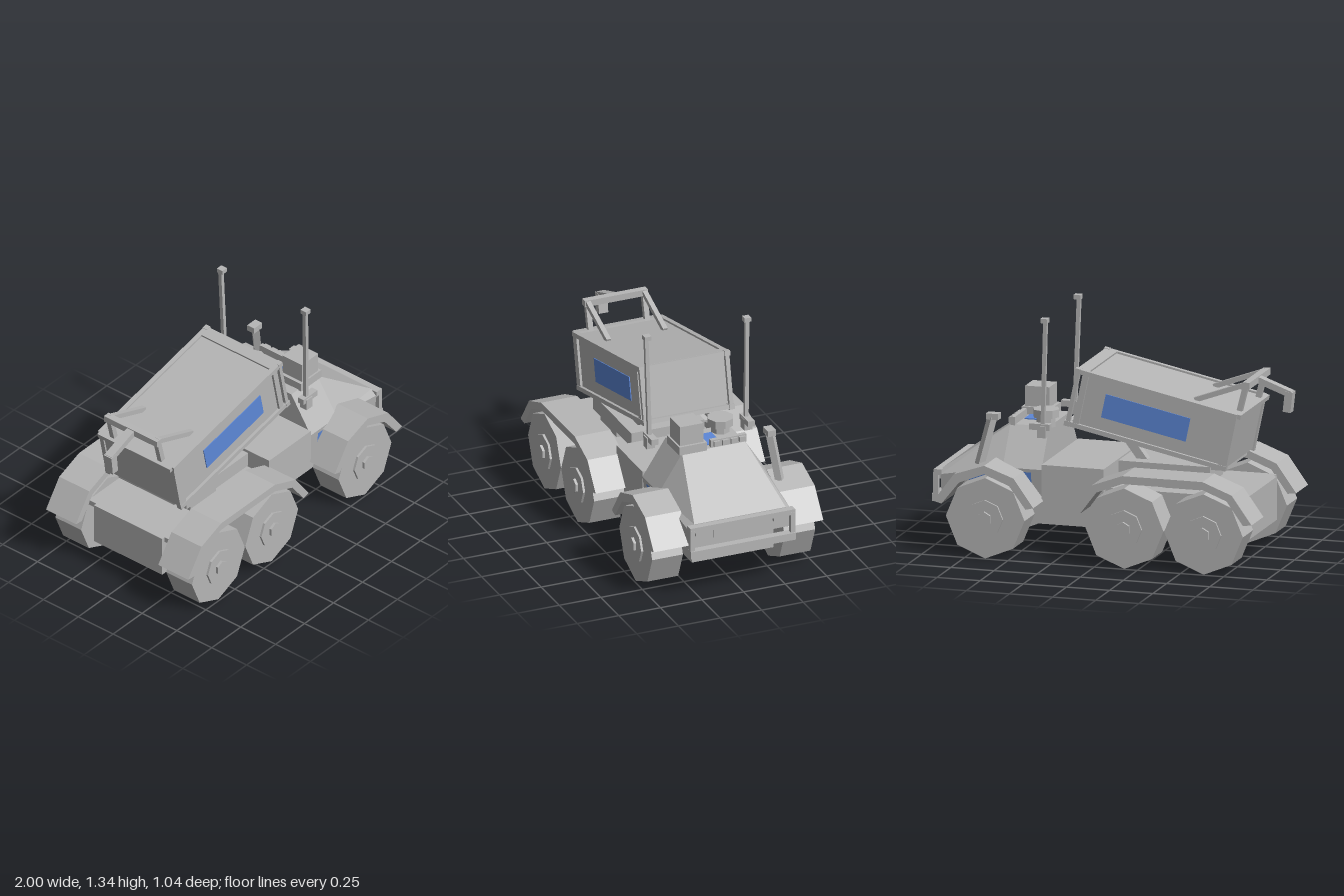
import * as THREE from 'three';

const gray = new THREE.MeshStandardMaterial({ color: 0xb6b6b6, side: THREE.DoubleSide });
gray.name = 'bodyGray';
const blue = new THREE.MeshStandardMaterial({ color: 0x5d88d8, side: THREE.DoubleSide });
blue.name = 'panelBlue';

function add(parent, name, geo, mat = gray) {
  const m = new THREE.Mesh(geo, mat);
  m.name = name;
  parent.add(m);
  return m;
}

// box given by its min and max on each axis
function box(parent, name, x0, x1, y0, y1, z0, z1, mat) {
  const m = add(parent, name, new THREE.BoxGeometry(x1 - x0, y1 - y0, z1 - z0), mat);
  m.position.set((x0 + x1) / 2, (y0 + y1) / 2, (z0 + z1) / 2);
  return m;
}

// square bar between two points
function beam(parent, name, a, b, w, d = w) {
  const A = new THREE.Vector3(...a), B = new THREE.Vector3(...b);
  const m = add(parent, name, new THREE.BoxGeometry(w, A.distanceTo(B), d));
  m.position.copy(A).add(B).multiplyScalar(0.5);
  m.quaternion.setFromUnitVectors(new THREE.Vector3(0, 1, 0), B.sub(A).normalize());
  return m;
}

// flat-shaded triangles from quads
function quads(list) {
  const p = [];
  for (const [a, b, c, d] of list) p.push(...a, ...b, ...c, ...a, ...c, ...d);
  const g = new THREE.BufferGeometry();
  g.setAttribute('position', new THREE.Float32BufferAttribute(p, 3));
  g.computeVertexNormals();
  return g;
}

// faceted wheel disc, axis along z
function disc(parent, name, r, sides, z0, z1) {
  const m = add(parent, name, new THREE.CylinderGeometry(r, r, z1 - z0, sides).toNonIndexed());
  m.geometry.computeVertexNormals();
  m.geometry.rotateX(Math.PI / 2);
  m.position.z = (z0 + z1) / 2;
}

function addWheels(g) {
  for (const x of [-0.63, -0.17, 0.635]) for (const s of [1, -1]) {
    const w = new THREE.Group();
    w.name = 'wheel';
    disc(w, 'tyre', 0.228, 8, 0.305, 0.49);
    disc(w, 'hub', 0.105, 8, 0.48, 0.503);
    disc(w, 'hubCap', 0.042, 6, 0.5, 0.518);
    w.position.set(x, 0.233, 0);
    if (s < 0) w.rotation.y = Math.PI;
    g.add(w);
  }
}

function addFenders(g) {
  const rear = [[-0.915, 0.31], [-0.8, 0.47], [-0.63, 0.535], [-0.165, 0.535], [0.01, 0.47], [0.125, 0.315],
    [0.08, 0.303], [-0.015, 0.43], [-0.165, 0.49], [-0.63, 0.49], [-0.77, 0.435], [-0.865, 0.303]];
  const front = [[0.35, 0.315], [0.465, 0.475], [0.635, 0.535], [0.81, 0.475], [0.93, 0.315],
    [0.882, 0.303], [0.78, 0.43], [0.635, 0.487], [0.49, 0.43], [0.395, 0.303]];
  for (const [name, pts] of [['rearFender', rear], ['frontFender', front]]) {
    const shape = new THREE.Shape(pts.map(p => new THREE.Vector2(...p)));
    for (const z of [0.295, -0.51]) {
      add(g, name, new THREE.ExtrudeGeometry(shape, { depth: 0.215, bevelEnabled: false })).position.z = z;
    }
  }
}

// half outline of the cab at x: sill, belt, roof edge, as [z, y]
function cabSection(x) {
  const t = Math.max(0, (x - 0.585) / 0.365);
  const mix = (a, b) => a + (b - a) * t;
  return [[mix(0.31, 0.3), mix(0.31, 0.33)], [mix(0.33, 0.31), mix(0.49, 0.42)], [mix(0.19, 0.275), mix(0.705, 0.45)]];
}

function addCab(g) {
  const cab = new THREE.Group();
  cab.name = 'cab';
  g.add(cab);
  const ring = x => {
    const h = cabSection(x);
    return [...h.map(([z, y]) => [x, y, z]), ...h.slice().reverse().map(([z, y]) => [x, y, -z])];
  };
  const rings = [0.36, 0.585, 0.95].map(ring), faces = [];
  for (let i = 0; i < 2; i++) for (let j = 0; j < 6; j++) {
    const k = (j + 1) % 6, a = rings[i], b = rings[i + 1];
    faces.push([a[j], b[j], b[k], a[k]]);
  }
  const [r, , f] = rings;
  faces.push([r[0], r[1], r[4], r[5]], [r[1], r[2], r[3], r[4]]);
  faces.push([f[5], f[4], f[1], f[0]], [f[4], f[3], f[2], f[1]]);
  add(cab, 'cabShell', quads(faces));

  // blue door panels follow the lower cab side
  for (const s of [1, -1]) {
    const at = (x, t) => {
      const [a, b] = cabSection(x);
      return [x, a[1] + (b[1] - a[1]) * t, s * (a[0] + (b[0] - a[0]) * t + 0.004)];
    };
    const strip = [[0.42, 0.585], [0.585, 0.785]].map(([p, q]) => {
      const c = [at(p, 0.25), at(q, 0.25), at(q, 0.9), at(p, 0.9)];
      return s > 0 ? c : c.reverse();
    });
    add(cab, 'doorPanel', quads(strip), blue);
  }
  box(cab, 'roofPanel', 0.41, 0.545, 0.703, 0.711, -0.06, 0.055, blue);

  // roof equipment
  box(cab, 'equipmentBase', 0.42, 0.595, 0.7, 0.75, 0.045, 0.21);
  box(cab, 'equipmentBox', 0.44, 0.58, 0.75, 0.865, 0.06, 0.2);
  for (const [rad, y0, y1] of [[0.055, 0.69, 0.75], [0.075, 0.745, 0.79]]) {
    const c = add(cab, 'roofDrum', new THREE.CylinderGeometry(rad, rad, y1 - y0, 8).toNonIndexed());
    c.geometry.computeVertexNormals();
    c.position.set(0.4, (y0 + y1) / 2, -0.12);
  }
  box(cab, 'lightBar', 0.555, 0.58, 0.7, 0.748, -0.2, 0.015);
  for (let i = 0; i < 4; i++) box(cab, 'roofLight', 0.575, 0.595, 0.712, 0.742, -0.19 + i * 0.051, -0.153 + i * 0.051);

  // front panel and bumper frame
  box(cab, 'grille', 0.945, 0.962, 0.35, 0.415, -0.16, 0.16);
  box(cab, 'frameTop', 0.945, 0.99, 0.415, 0.447, -0.315, 0.315);
  box(cab, 'bumper', 0.955, 1, 0.265, 0.308, -0.315, 0.315);
  for (const s of [1, -1]) {
    box(cab, 'headlight', 0.945, 0.972, 0.385, 0.42, s * 0.235 - 0.04, s * 0.235 + 0.04);
    box(cab, 'framePost', 0.965, 0.992, 0.29, 0.43, s * 0.302 - 0.013, s * 0.302 + 0.013);
  }

  // tall masts at the rear corners of the cab
  for (const s of [1, -1]) {
    box(cab, 'mastBase', 0.34, 0.39, 0.668, 0.735, s * 0.293 - 0.024, s * 0.293 + 0.024);
    box(cab, 'mastBracket', 0.32, 0.44, 0.71, 0.745, s * 0.29 - 0.02, s * 0.29 + 0.02);
    beam(cab, 'mast', [0.365, 0.7, s * 0.29], [0.345, 1.33, s * 0.303], 0.022);
    box(cab, 'mastHead', 0.33, 0.37, 1.32, 1.345, s * 0.3 - 0.02, s * 0.3 + 0.02);
  }

  // side intake on the right
  beam(cab, 'intakePipe', [0.65, 0.77, -0.31], [0.715, 0.5, -0.34], 0.04);
  box(cab, 'intakeHead', 0.61, 0.68, 0.755, 0.79, -0.335, -0.285);
}

function addDumpBody(g) {
  const d = new THREE.Group();
  d.name = 'dumpBody';
  d.position.set(-0.255, 0.805, 0);
  d.rotation.z = 0.207;
  g.add(d);
  box(d, 'bodyCore', -0.465, 0.435, -0.155, 0.155, -0.255, 0.255);
  for (const s of [1, -1]) {
    box(d, 'bluePanel', -0.215, 0.285, -0.068, 0.068, s * 0.257 - 0.003, s * 0.257 + 0.003, blue);
    for (const t of [1, -1]) {
      box(d, 'lengthRail', -0.475, 0.475, t * 0.153 - 0.013, t * 0.153 + 0.013, s * 0.258 - 0.014, s * 0.258 + 0.014);
      box(d, 'cornerBlock', 0.45, 0.482, t * 0.153 - 0.015, t * 0.153 + 0.015, s * 0.258 - 0.016, s * 0.258 + 0.016);
    }
    box(d, 'rearPost', -0.475, -0.425, -0.16, 0.16, s * 0.255 - 0.014, s * 0.255 + 0.014);
    box(d, 'frontPost', 0.4, 0.435, -0.16, 0.16, s * 0.255 - 0.014, s * 0.255 + 0.014);
    box(d, 'endPost', 0.452, 0.475, -0.16, 0.16, s * 0.258 - 0.012, s * 0.258 + 0.012);
    box(d, 'endRail', 0.45, 0.475, s * 0.153 - 0.012, s * 0.153 + 0.012, -0.26, 0.26);
    const x = s * 0.45 - 0.02;
    box(d, 'topCrossRail', x - 0.025, x + 0.025, 0.14, 0.166, -0.26, 0.26);
  }
}

function addHook(g) {
  const h = new THREE.Group();
  h.name = 'rearHook';
  g.add(h);
  for (const s of [1, -1]) {
    beam(h, 'hookStrut', [-0.78, 1.025, s * 0.17], [-0.48, 0.915, s * 0.17], 0.028);
    beam(h, 'hookPost', [-0.775, 1.02, s * 0.17], [-0.735, 0.86, s * 0.17], 0.03);
  }
  box(h, 'hookCrossbar', -0.8, -0.76, 1.0, 1.037, -0.19, 0.19);
  beam(h, 'hookArm', [-0.78, 1.02, 0], [-0.985, 0.945, 0], 0.036, 0.05);
  beam(h, 'hookTip', [-0.975, 0.96, 0], [-0.962, 0.845, 0], 0.045, 0.056);
}

export function createModel() {
  const g = new THREE.Group();
  g.name = 'dumpTruck';
  box(g, 'chassis', -0.82, 0.85, 0.165, 0.41, -0.245, 0.245);
  box(g, 'rearDeck', -0.8, 0, 0.38, 0.41, -0.3, 0.3);
  box(g, 'midBox', 0, 0.36, 0.31, 0.52, -0.33, 0.33);
  // tipping gear under the dump body
  box(g, 'tipperFoot', -0.52, -0.3, 0.4, 0.47, -0.2, 0.2);
  box(g, 'tipperBase', -0.58, -0.05, 0.465, 0.55, -0.22, 0.22);
  for (const s of [1, -1]) beam(g, 'tippingRam', [-0.2, 0.5, s * 0.12], [-0.08, 0.66, s * 0.12], 0.05);
  box(g, 'tipperHinge', -0.66, -0.57, 0.53, 0.6, -0.2, 0.2);
  addWheels(g);
  addFenders(g);
  addCab(g);
  addDumpBody(g);
  addHook(g);
  return g;
}
